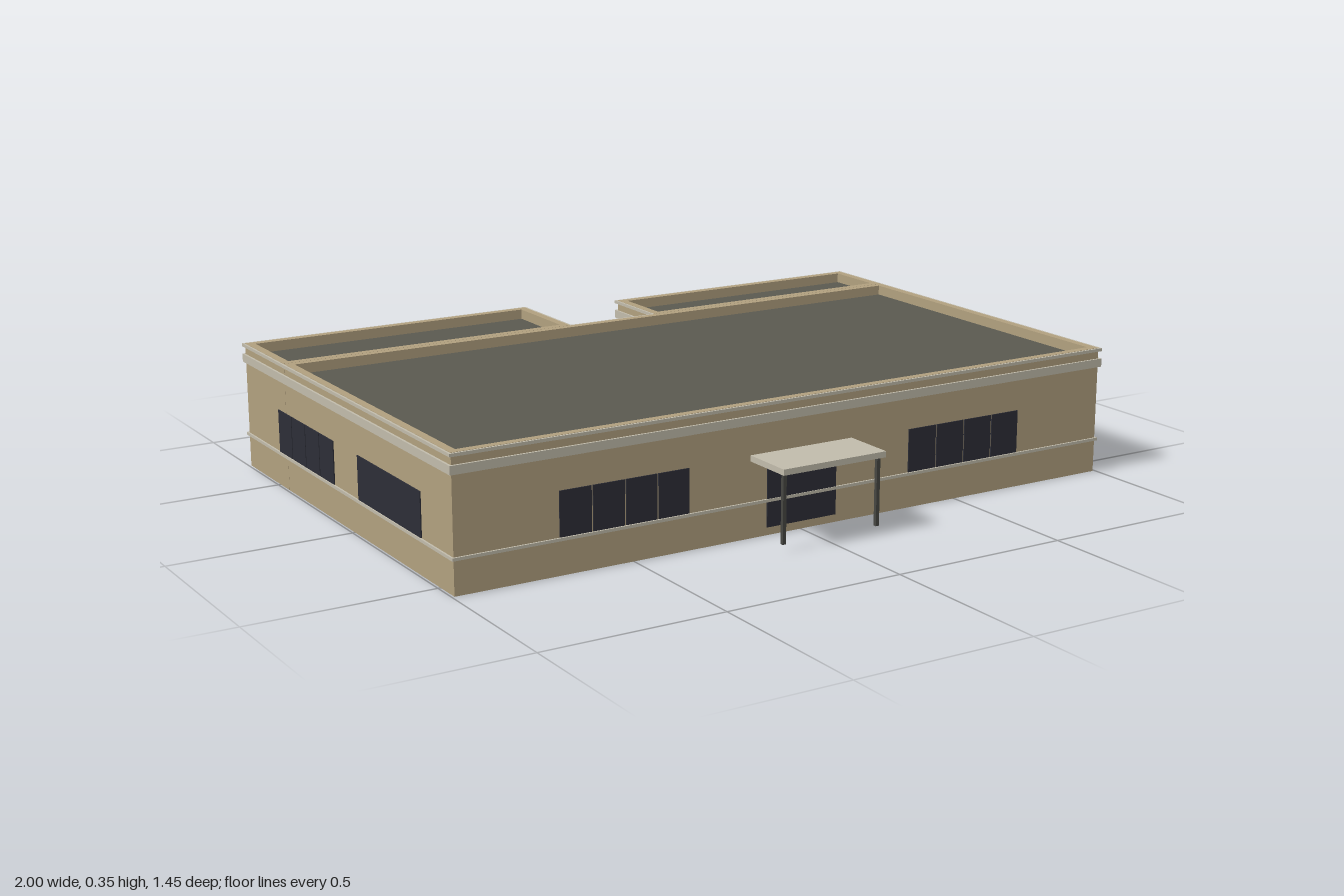
import * as THREE from 'three';

const mat = (name, color, side = THREE.FrontSide) => {
  const m = new THREE.MeshStandardMaterial({ color, side });
  m.name = name;
  return m;
};

export function createModel() {
  const model = new THREE.Group();
  model.name = 'building';
  const wallMat = mat('tan wall', 0xb1a07e, THREE.DoubleSide);
  const roofMat = mat('dark roof', 0x5a5950, THREE.DoubleSide);
  const trimMat = mat('light stone trim', 0xc1bbab);
  const glassMat = mat('dark glass', 0x2d2e37);
  const postMat = mat('dark metal', 0x464642);

  const add = (parent, name, geo, material, x = 0, y = 0, z = 0) => {
    const mesh = new THREE.Mesh(geo, material);
    mesh.name = name;
    mesh.position.set(x, y, z);
    parent.add(mesh);
    return mesh;
  };

  // Flat ring between two plan outlines ([x, z] points), raised from y0 to y1
  const ring = (outer, inner, y0, y1) => {
    const pts = (list) => list.map(([x, z]) => new THREE.Vector2(x, -z));
    const shape = new THREE.Shape(pts(outer));
    shape.holes.push(new THREE.Path(pts(inner)));
    const geo = new THREE.ExtrudeGeometry(shape, { depth: y1 - y0, bevelEnabled: false });
    return geo.rotateX(-Math.PI / 2).translate(0, y0, 0);
  };
  const rect = (x0, x1, z0, z1) => [[x0, z1], [x1, z1], [x1, z0], [x0, z0]];

  const W = 0.993, FRONT = 0.575, BACK = -0.436;
  const ROOF = 0.325, TOP = 0.355;
  const wings = { right: { x: 0.172, z: -0.656 }, left: { x: -0.114, z: -0.718 } };

  // Each block: four thin walls, open underneath, a roof and a parapet
  const block = (name, x0, x1, z0, z1, t) => {
    const g = new THREE.Group();
    g.name = name;
    model.add(g);
    const h = ROOF + 0.002, cx = (x0 + x1) / 2, cz = (z0 + z1) / 2;
    const wall = (len, x, z, turn) => {
      add(g, 'wall', new THREE.PlaneGeometry(len, h), wallMat, x, h / 2, z).rotation.y = turn;
    };
    wall(x1 - x0, cx, z1, 0);
    wall(x1 - x0, cx, z0, Math.PI);
    wall(z1 - z0, x1, cz, Math.PI / 2);
    wall(z1 - z0, x0, cz, -Math.PI / 2);
    const roof = new THREE.PlaneGeometry(x1 - x0, z1 - z0).rotateX(-Math.PI / 2);
    add(g, 'roof', roof, roofMat, cx, ROOF, cz);
    add(g, 'parapet', ring(rect(x0, x1, z0, z1),
      rect(x0 + t, x1 - t, z0 + t, z1 - t), h, TOP), wallMat);
  };
  block('mainBlock', -W, W, BACK, FRONT, 0.022);
  block('backWingPositiveX', wings.right.x, W, wings.right.z, BACK - 0.001, 0.022);
  block('backWingNegativeX', -W, wings.left.x, wings.left.z, BACK - 0.001, 0.022);

  // Trim bands follow the whole plan, pushed out from the walls by d
  const plan = (d) => [
    [-W - d, FRONT + d], [W + d, FRONT + d],
    [W + d, wings.right.z - d], [wings.right.x - d, wings.right.z - d],
    [wings.right.x - d, BACK - d], [wings.left.x + d, BACK - d],
    [wings.left.x + d, wings.left.z - d], [-W - d, wings.left.z - d],
  ];
  const band = (name, d, y0, y1) =>
    add(model, name, ring(plan(d), plan(0.0008), y0, y1), trimMat);
  band('sillBand', 0.006, 0.09, 0.098);
  band('cornice', 0.007, 0.302, 0.325);
  band('parapetCap', 0.007, 0.346, 0.3545);

  // Windows: thin panes set side by side on a wall that faces the given angle
  const windowRow = (name, x, z, turn, panes) => {
    const g = new THREE.Group();
    g.name = name;
    g.position.set(x, 0.158, z);
    g.rotation.y = turn;
    model.add(g);
    const width = 0.372, step = width / panes;
    for (let i = 0; i < panes; i++) {
      add(g, 'pane', new THREE.BoxGeometry(step - 0.004, 0.118, 0.003), glassMat,
        (i + 0.5) * step - width / 2, 0, 0.0025);
    }
  };
  for (const s of [-1, 1]) {
    windowRow('frontWindow', s * 0.525, FRONT, 0, 4);
    windowRow('sidePanedWindow', s * W, s > 0 ? 0.222 : -0.3, s * Math.PI / 2, 4);
    windowRow('sideWideWindow', s * W, s > 0 ? -0.3 : 0.222, s * Math.PI / 2, 1);
  }
  windowRow('backWindow', 0.582, wings.right.z, Math.PI, 4);
  windowRow('backWindow', -0.552, wings.left.z, Math.PI, 4);

  // Entrance: glass door, canopy and two posts
  add(model, 'door', new THREE.BoxGeometry(0.214, 0.166, 0.003), glassMat, 0, 0.105, FRONT + 0.0025);
  add(model, 'canopy', new THREE.BoxGeometry(0.314, 0.016, 0.154), trimMat, 0, 0.213, 0.648);
  for (const s of [-1, 1]) {
    add(model, 'canopyPost', new THREE.BoxGeometry(0.01, 0.185, 0.01), postMat, s * 0.144, 0.1125, 0.707);
  }
  return model;
}
